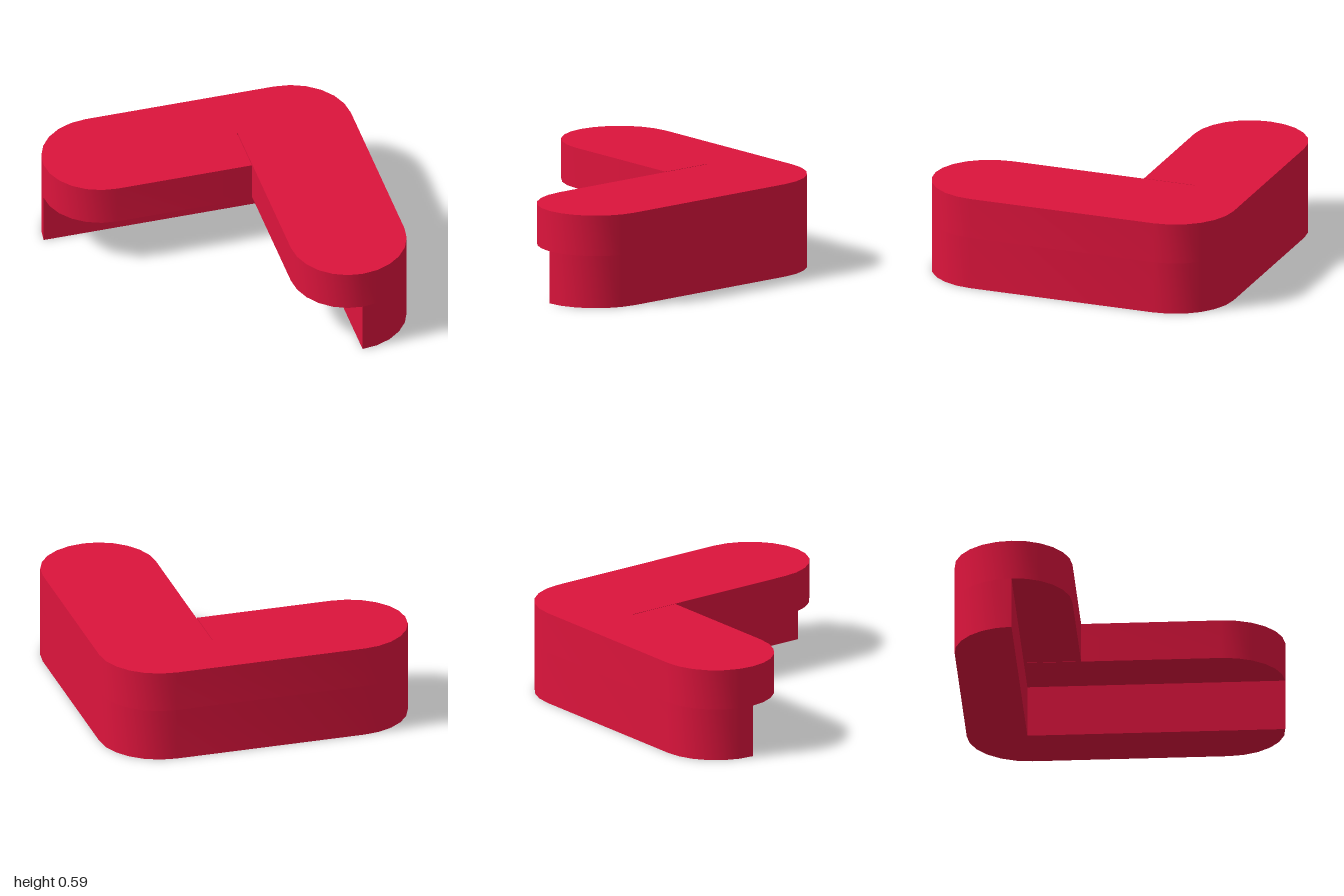
import * as THREE from 'three';
import { toCreasedNormals } from 'three/addons/utils/BufferGeometryUtils.js';

const EDGE = 0.62;    // centre line of both arms, where the base steps in
const INNER = 0.26;   // inner edge of the seat
const SEAM = 0.005;   // narrow slit between the two seat sections
const BASE_H = 0.335;
const TOTAL_H = 0.595;

// Quarter ellipse appended to a plan outline, counter-clockwise from a start angle.
const quarter = (shape, cx, cy, rx, ry, start) =>
  shape.absellipse(cx, cy, rx, ry, start, start + Math.PI / 2, false, 0);

// Plan outlines use x and -z, and are extruded upward from y0 to y1.
function slab(name, shape, y0, y1, material) {
  const raw = new THREE.ExtrudeGeometry(shape, { depth: y1 - y0, bevelEnabled: false, curveSegments: 3 });
  raw.rotateX(-Math.PI / 2).translate(0, y0, 0);
  const mesh = new THREE.Mesh(toCreasedNormals(raw, 0.6), material);
  mesh.name = name;
  return mesh;
}

// L-shaped outline: the full seat, or only its outer half for the base.
function outline(full) {
  const r = 1 - EDGE;
  const s = new THREE.Shape();
  s.moveTo(0.61, 1);
  s.lineTo(-EDGE, 1);
  quarter(s, -EDGE, EDGE, r, r, Math.PI / 2);
  if (full) {
    quarter(s, -EDGE, EDGE, r, EDGE - INNER, Math.PI);
    s.lineTo(INNER - SEAM, INNER);
    s.lineTo(INNER - SEAM, 0.6);
    s.lineTo(INNER, 0.6);
    s.lineTo(INNER, -EDGE);
    quarter(s, EDGE, -EDGE, EDGE - INNER, r, Math.PI);
  } else {
    s.lineTo(EDGE, EDGE);
    s.lineTo(EDGE, -1);
  }
  quarter(s, EDGE, -EDGE, r, r, Math.PI * 1.5);
  s.lineTo(1, 0.61);
  quarter(s, 0.61, 0.61, 0.39, 0.39, 0);
  return s;
}

export function createModel() {
  const group = new THREE.Group();
  group.name = 'cornerBench';
  const red = new THREE.MeshStandardMaterial({ color: 0xdc143c });
  group.add(slab('base', outline(false), 0, BASE_H, red));
  group.add(slab('seat', outline(true), BASE_H, TOTAL_H, red));
  return group;
}
